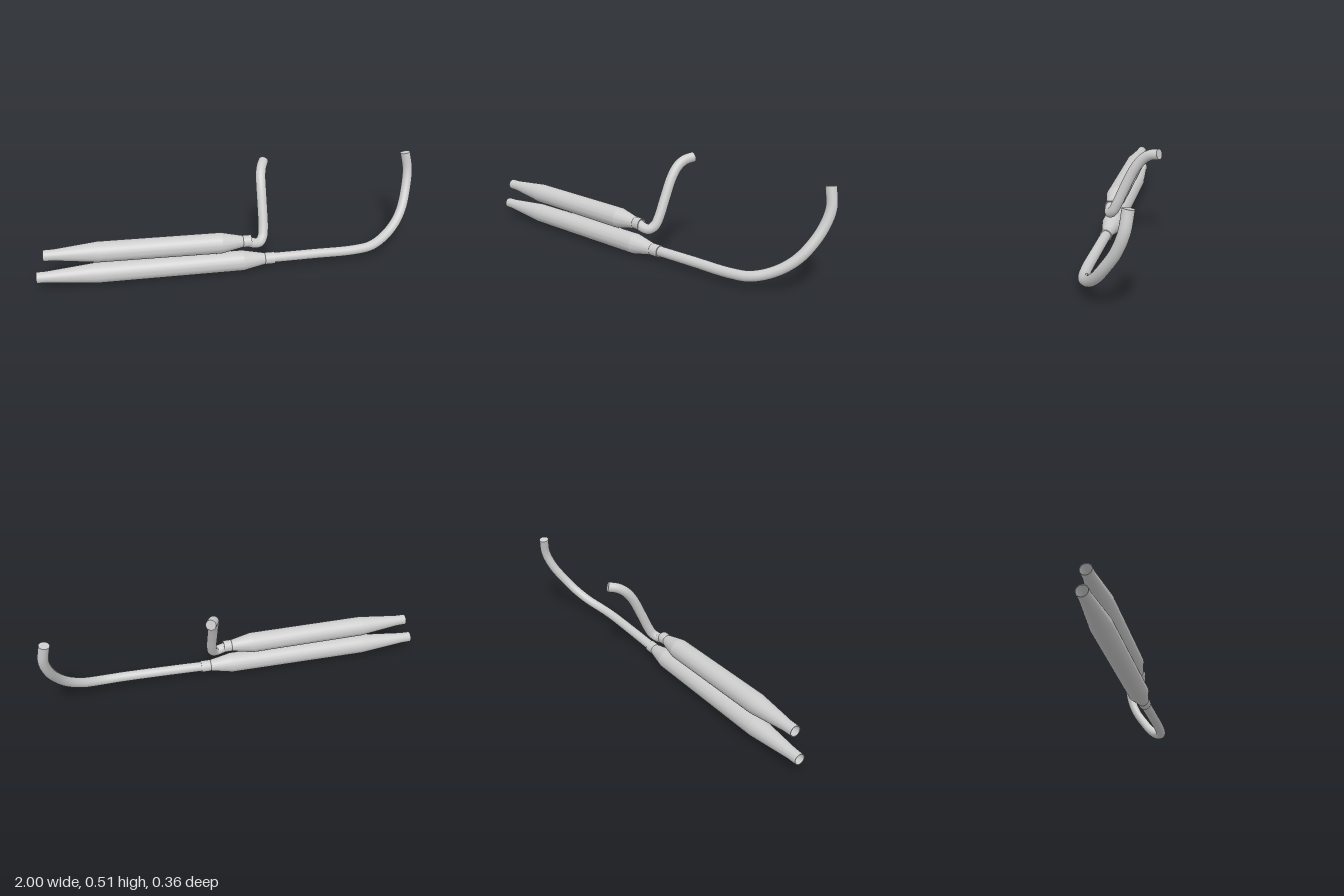
import * as THREE from 'three';
import { toCreasedNormals } from 'three/addons/utils/BufferGeometryUtils.js';

const steel = new THREE.MeshStandardMaterial({ color: 0xcccccc, side: THREE.DoubleSide });
steel.name = 'brushed steel';

const vec = (p) => new THREE.Vector3(...p);

// Turned silencer: profile is [distance along axis, radius], rear tip first
function silencer(name, rear, front, profile) {
  const a = vec(rear), b = vec(front);
  const points = profile.map(([d, r]) => new THREE.Vector2(r, d));
  const geometry = toCreasedNormals(new THREE.LatheGeometry(points, 48), 0.16);
  const mesh = new THREE.Mesh(geometry, steel);
  mesh.name = name;
  mesh.position.copy(a);
  mesh.quaternion.setFromUnitVectors(new THREE.Vector3(0, 1, 0), b.sub(a).normalize());
  return mesh;
}

// Bent header pipe with flat caps at both ends
function headerPipe(name, path, radius) {
  const group = new THREE.Group();
  group.name = name;
  const curve = new THREE.CatmullRomCurve3(path.map(vec), false, 'centripetal');
  const tube = new THREE.Mesh(new THREE.TubeGeometry(curve, 120, radius, 32), steel);
  tube.name = name + 'Tube';
  group.add(tube);
  for (const [t, sign] of [[0, -1], [1, 1]]) {
    const cap = new THREE.Mesh(new THREE.CircleGeometry(radius, 32), steel);
    cap.name = name + 'Cap';
    cap.position.copy(curve.getPointAt(t));
    const out = curve.getTangentAt(t).multiplyScalar(sign);
    cap.quaternion.setFromUnitVectors(new THREE.Vector3(0, 0, 1), out);
    group.add(cap);
  }
  return group;
}

// Hollow tip, rear cone, body, front cone and clamp collar
function silencerProfile(rearCone, bodyEnd, collarStart, end) {
  return [
    [0.2, 0.0], [0.2, 0.03], [0, 0.025], [0, 0.028], [0.05, 0.029],
    [rearCone, 0.052], [bodyEnd, 0.053],
    [collarStart, 0.031], [collarStart + 0.004, 0.029], [collarStart + 0.008, 0.031],
    [end, 0.031], [end, 0.027], [end - 0.01, 0.025], [end - 0.01, 0],
  ];
}

export function createModel() {
  const model = new THREE.Group();
  model.name = 'twinExhaust';

  // Silencers
  model.add(
    silencer('lowerSilencer', [-1, 0.065, 0.13], [0.195, 0.056, 0.111],
      silencerProfile(0.29, 1.03, 1.14, 1.195)),
    silencer('upperSilencer', [-0.955, 0.187, 0.13], [0.072, 0.168, 0.112],
      silencerProfile(0.26, 0.875, 0.98, 1.027)),
  );

  // Header pipes
  model.add(
    headerPipe('lowerPipe', [
      [0.17, 0.057, 0.111], [0.4, 0.059, 0.109], [0.62, 0.06, 0.105], [0.72, 0.068, 0.089],
      [0.81, 0.1, 0.045], [0.88, 0.152, -0.003], [0.922, 0.21, -0.045], [0.957, 0.3, -0.103],
      [0.97, 0.39, -0.139], [0.953, 0.484, -0.153],
    ], 0.026),
    headerPipe('upperPipe', [
      [0.05, 0.167, 0.113], [0.085, 0.155, 0.113], [0.115, 0.152, 0.105], [0.135, 0.17, 0.085],
      [0.143, 0.21, 0.063], [0.145, 0.3, 0.022], [0.146, 0.4, -0.028], [0.15, 0.448, -0.066],
      [0.161, 0.475, -0.105], [0.18, 0.487, -0.153],
    ], 0.026),
  );
  return model;
}
